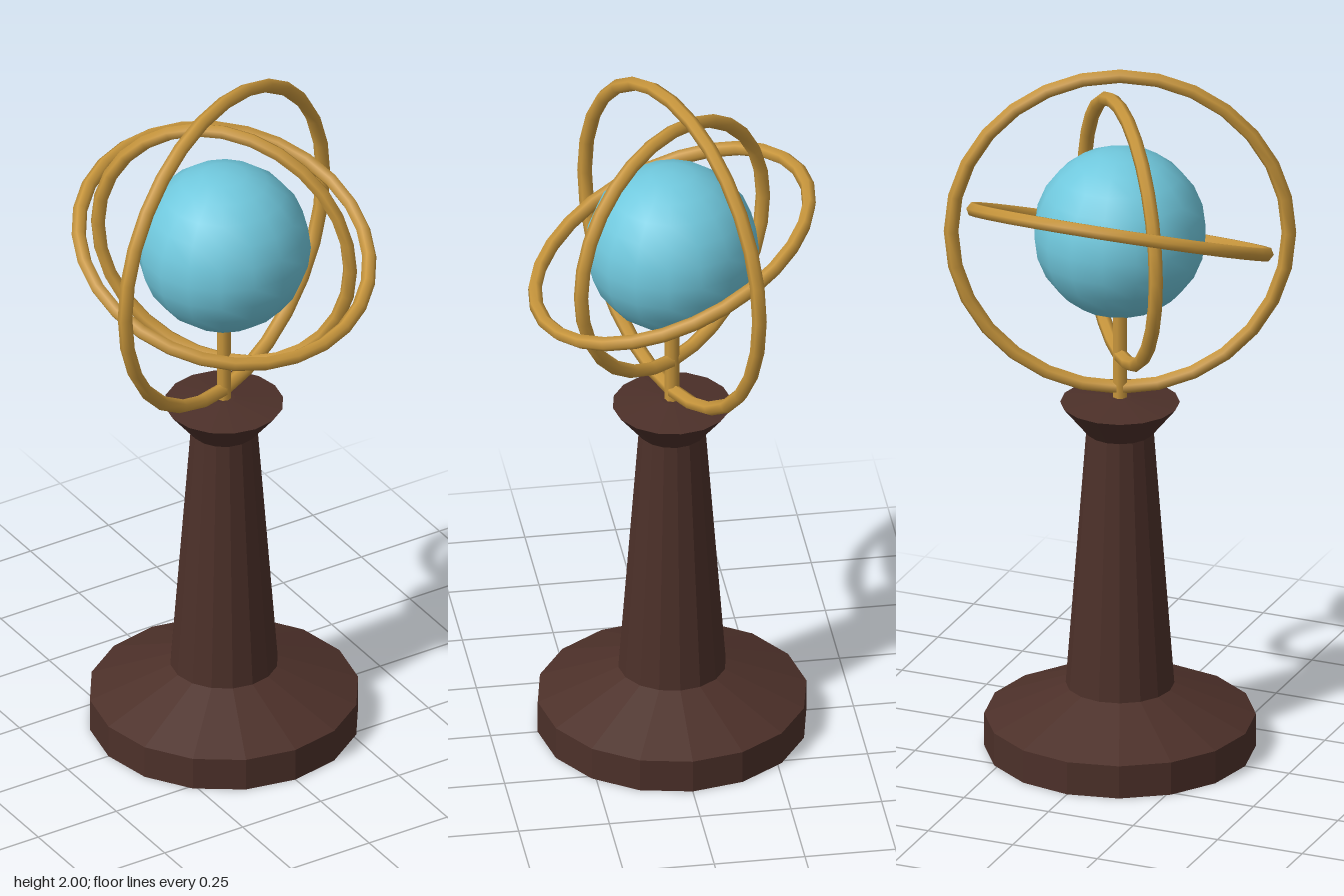
import * as THREE from 'three';

export function createModel() {
  const model = new THREE.Group();
  model.name = 'armillaryGlobe';

  const wood = new THREE.MeshStandardMaterial({ name: 'darkWood', color: 0x4c3029, flatShading: true });
  const brass = new THREE.MeshStandardMaterial({ name: 'brass', color: 0xc8963c });
  const blue = new THREE.MeshStandardMaterial({ name: 'skyBlue', color: 0x70c8dd });

  const add = (name, geometry, material, y = 0) => {
    const mesh = new THREE.Mesh(geometry, material);
    mesh.name = name;
    mesh.position.y = y;
    model.add(mesh);
    return mesh;
  };

  // Turned pedestal: plinth, tapering column and flared cap
  const profile = [
    [0, 0], [0.37, 0], [0.37, 0.095], [0.148, 0.187],
    [0.092, 0.93], [0.163, 1.017], [0.03, 1.033], [0, 1.033],
  ].map(([r, y]) => new THREE.Vector2(r, y));
  add('pedestal', new THREE.LatheGeometry(profile, 16), wood);

  // Rod carrying the globe
  add('supportRod', new THREE.CylinderGeometry(0.02, 0.02, 0.3, 8), brass, 1.17);

  // Globe
  const centre = 1.52;
  const globe = add('globe', new THREE.SphereGeometry(0.237, 16, 12), blue, centre);
  globe.rotation.y = Math.PI / 16;

  // Three rings: name, radius, tilt about x, turn about y
  const rings = [
    ['outerRing', 0.46, 0, 0.39],
    ['innerRing', 0.365, 0, -0.9],
    ['tiltedRing', 0.405, Math.PI / 2 + 0.4, 0],
  ];
  for (const [name, radius, tilt, turn] of rings) {
    const ring = add(name, new THREE.TorusGeometry(radius, 0.02, 6, 28), brass, centre);
    ring.rotation.set(tilt, turn, 0);
  }

  return model;
}
